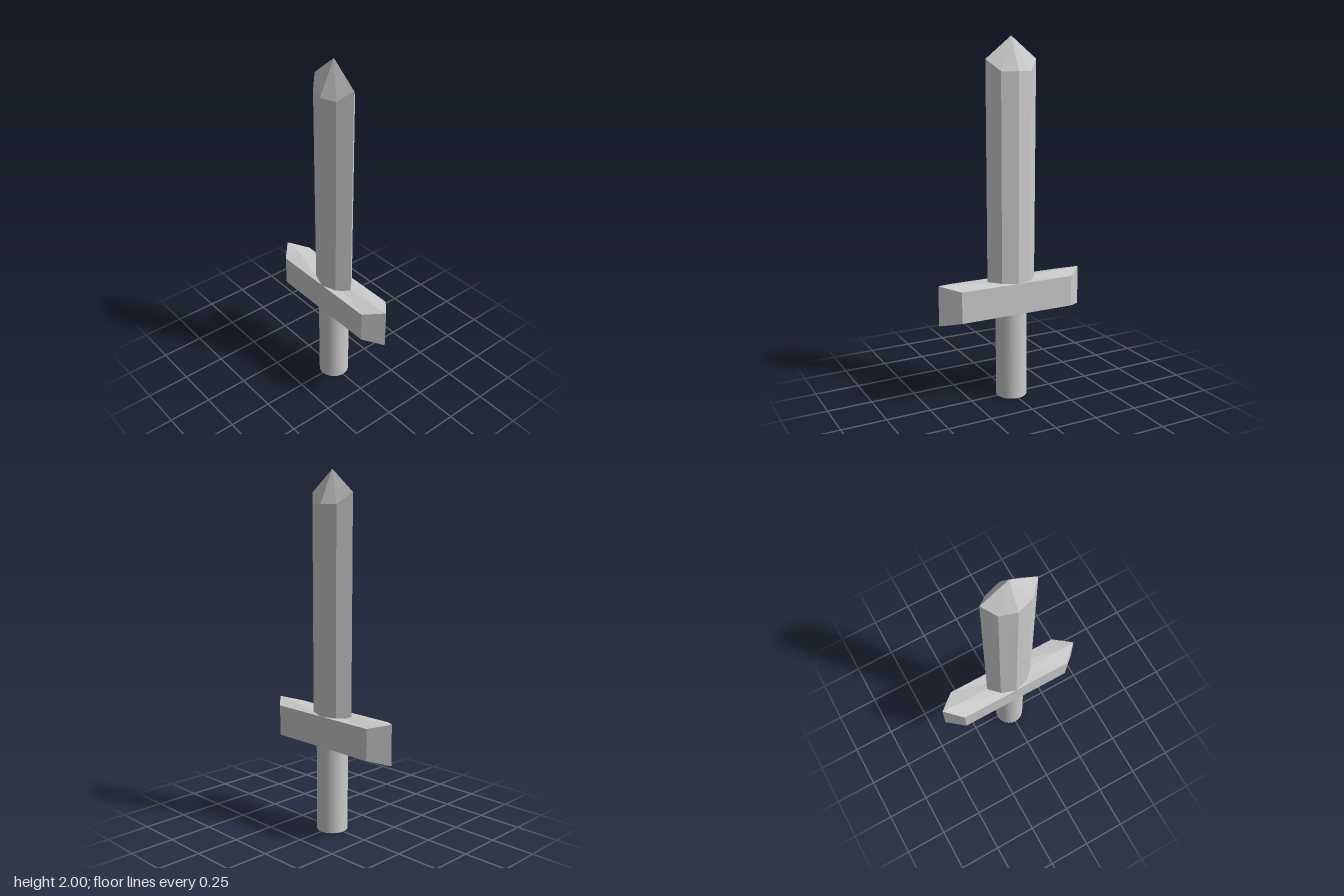
import * as THREE from 'three';

const material = new THREE.MeshStandardMaterial({ color: 0xcccccc });

// Flat-shaded skin over rings of [x, y, z] points, counter-clockwise seen from the last ring
function loft(rings) {
  const positions = [];
  const tri = new THREE.Triangle();
  const addFace = (a, b, c) => {
    tri.set(new THREE.Vector3(...a), new THREE.Vector3(...b), new THREE.Vector3(...c));
    if (tri.getArea() > 1e-7) positions.push(...a, ...b, ...c);
  };
  const n = rings[0].length;
  for (let i = 0; i < rings.length - 1; i++) {
    const a = rings[i], b = rings[i + 1];
    for (let j = 0; j < n; j++) {
      const k = (j + 1) % n;
      addFace(a[j], a[k], b[k]);
      addFace(a[j], b[k], b[j]);
    }
  }
  // End caps (collapsed ends add nothing)
  const first = rings[0], last = rings[rings.length - 1];
  for (let j = 1; j < n - 1; j++) {
    addFace(first[0], first[j + 1], first[j]);
    addFace(last[0], last[j], last[j + 1]);
  }
  const geometry = new THREE.BufferGeometry();
  geometry.setAttribute('position', new THREE.Float32BufferAttribute(positions, 3));
  geometry.computeVertexNormals();
  return geometry;
}

// Eight-sided blade, slightly wider upwards, closing in a four-faced point
function bladeGeometry() {
  const section = [
    [0.151, 0], [0.09, -0.06], [0, -0.0885], [-0.09, -0.06],
    [-0.151, 0], [-0.09, 0.06], [0, 0.0885], [0.09, 0.06],
  ];
  const base = section.map(([x, z]) => [x * 0.97, 0.6, z]);
  const shoulder = section.map(([x, z]) => {
    const y = z === 0 ? 1.88 : 1.818;
    return [x, y, z];
  });
  const tip = section.map(() => [0, 2, 0]);
  return loft([base, shoulder, tip]);
}

// Crossguard with wedge ends; its ridges flare towards the ends
function guardGeometry() {
  const mid = 0.584, half = 0.0875;
  const rings = [-0.438, -0.34, 0, 0.34, 0.438].map((x) => {
    const ridge = half + 0.025 * Math.abs(x) / 0.438;
    const isEnd = Math.abs(x) > 0.4;
    const z = isEnd ? 0 : 0.088;
    const h = isEnd ? ridge : half;
    return [
      [x, mid + ridge, 0], [x, mid + h, z], [x, mid - h, z],
      [x, mid - ridge, 0], [x, mid - h, -z], [x, mid + h, -z],
    ];
  });
  return loft(rings);
}

export function createModel() {
  const model = new THREE.Group();
  model.name = 'sword';
  const add = (name, geometry) => {
    const mesh = new THREE.Mesh(geometry, material);
    mesh.name = name;
    model.add(mesh);
    return mesh;
  };

  add('blade', bladeGeometry());
  add('crossguard', guardGeometry());

  // Round grip, running up into the guard
  add('grip', new THREE.CylinderGeometry(0.0875, 0.0875, 0.55, 32)).position.y = 0.275;

  return model;
}
